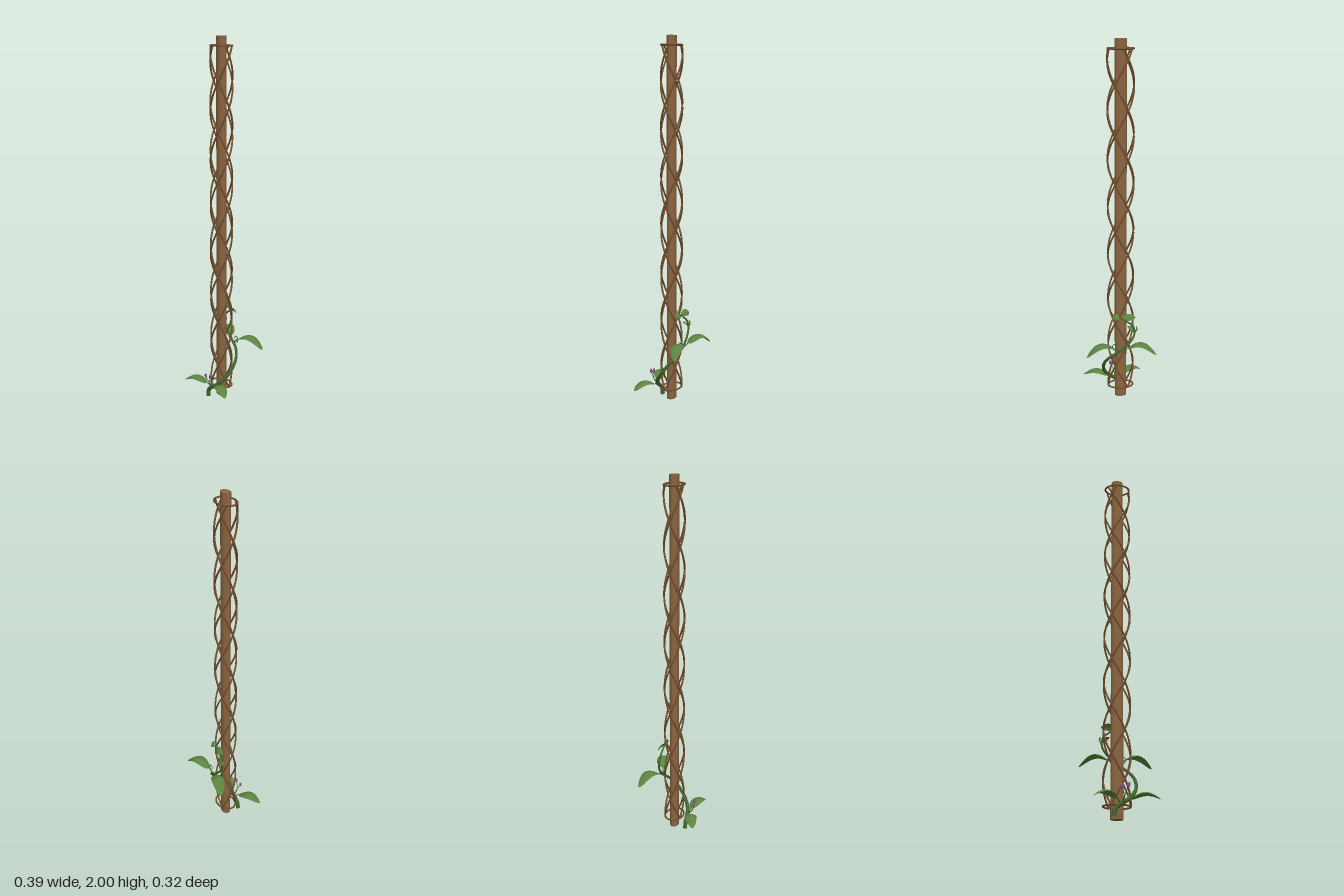
import * as THREE from 'three';

const V = (x, y, z) => new THREE.Vector3(x, y, z);
const CX = -0.012; // pole axis

// Tube along points whose radius tapers from r0 to r1
function taperedTube(points, r0, r1, segments = 80, sides = 8) {
  const curve = new THREE.CatmullRomCurve3(points);
  const geo = new THREE.TubeGeometry(curve, segments, 1, sides, false);
  const pos = geo.attributes.position;
  const p = V(0, 0, 0);
  for (let i = 0; i <= segments; i++) {
    const c = curve.getPointAt(i / segments);
    const r = r0 + (r1 - r0) * (i / segments);
    for (let j = 0; j <= sides; j++) {
      const k = i * (sides + 1) + j;
      p.fromBufferAttribute(pos, k).sub(c).multiplyScalar(r).add(c);
      pos.setXYZ(k, p.x, p.y, p.z);
    }
  }
  return geo;
}

// Arched, cupped leaf from base to tip
function leafGeometry(base, tip, halfWidth, arch, cup, up = V(0, 1, 0)) {
  const nu = 16, nv = 8;
  const geo = new THREE.PlaneGeometry(1, 1, nv, nu);
  const pos = geo.attributes.position;
  const side = V(0, 0, 0).subVectors(tip, base).cross(up).normalize();
  for (let k = 0; k < pos.count; k++) {
    const u = 0.5 - pos.getY(k), v = pos.getX(k) * 2;
    const w = halfWidth * Math.pow(Math.sin(Math.PI * Math.pow(u, 0.85)), 0.65);
    const p = base.clone().lerp(tip, u)
      .addScaledVector(side, v * w)
      .addScaledVector(up, arch * Math.sin(Math.PI * u) - cup * v * v * w / halfWidth);
    pos.setXYZ(k, p.x, p.y, p.z);
  }
  geo.computeVertexNormals();
  return geo;
}

export function createModel() {
  const group = new THREE.Group();
  const material = (name, color) => {
    const m = new THREE.MeshStandardMaterial({ color });
    m.name = name;
    return m;
  };
  const poleWood = material('pole wood', 0x8b6540);
  const latticeWood = material('lattice wood', 0x75502f);
  const stemGreen = material('stem green', 0x42682f);
  const leafGreen = material('leaf green', 0x5c8340);
  leafGreen.side = THREE.DoubleSide;
  const budPurple = material('bud purple', 0x8a5a90);

  const add = (name, geo, mat) => {
    const m = new THREE.Mesh(geo, mat);
    m.name = name;
    group.add(m);
    return m;
  };

  // Pole, slightly flattened front to back
  const pole = add('pole', new THREE.CylinderGeometry(0.033, 0.033, 2, 14), poleWood);
  pole.position.set(CX, 1, 0);
  pole.scale.z = 0.75;

  // Lattice: three strands wound each way
  const RX = 0.07, RZ = 0.0515, Y0 = 0.065, Y1 = 1.95, TURNS = 2.4, STRANDS = 3;
  const onLattice = (a, y) => V(CX + RX * Math.cos(a), y, RZ * Math.sin(a));
  for (const dir of [1, -1]) {
    for (let s = 0; s < STRANDS; s++) {
      const pts = [];
      for (let i = 0; i <= 60; i++) {
        const t = i / 60;
        const a = 2 * Math.PI * (s / STRANDS + dir * TURNS * t);
        pts.push(onLattice(a, Y0 + (Y1 - Y0) * t));
      }
      add('latticeStrand', new THREE.TubeGeometry(new THREE.CatmullRomCurve3(pts), 140, 0.005, 6), latticeWood);
    }
  }

  // Rings closing the lattice
  for (const y of [Y0, Y1]) {
    const pts = [];
    for (let i = 0; i < 24; i++) pts.push(onLattice(i / 24 * Math.PI * 2, y));
    add('latticeRing', new THREE.TubeGeometry(new THREE.CatmullRomCurve3(pts, true), 48, 0.005, 6, true), latticeWood);
  }

  // Climbing stem
  add('vineStem', taperedTube([
    V(-0.036, 0, 0.074), V(-0.028, 0.04, 0.074), V(0.03, 0.085, 0.066),
    V(0.072, 0.13, 0.037), V(0.086, 0.18, 0), V(0.073, 0.235, -0.04),
    V(0.03, 0.28, -0.068), V(-0.03, 0.325, -0.073), V(-0.08, 0.39, -0.068),
    V(-0.076, 0.44, -0.064), V(-0.035, 0.475, -0.062), V(0, 0.5, -0.06),
  ], 0.012, 0.004), stemGreen);

  // Large leaves on short stalks: stalk root, base, tip, half width, arch
  const leaves = [
    [V(0.0, 0.3, -0.073), V(-0.04, 0.325, -0.088), V(-0.195, 0.3, -0.146), 0.037, 0.05],
    [V(0.0, 0.3, -0.073), V(0.03, 0.325, -0.086), V(0.192, 0.3, -0.137), 0.036, 0.05],
    [V(0.0, 0.065, 0.072), V(-0.02, 0.085, 0.09), V(-0.149, 0.078, 0.158), 0.034, 0.036],
    [V(0.01, 0.07, 0.07), V(0.045, 0.085, 0.078), V(0.192, 0.08, 0.12), 0.033, 0.036],
  ];
  for (const [root, base, tip, w, arch] of leaves) {
    add('leafStalk', taperedTube([root, root.clone().lerp(base, 0.5), base], 0.004, 0.003, 8, 6), stemGreen);
    add('leaf', leafGeometry(base, tip, w, arch, 0.012), leafGreen);
  }

  // Young leaves near the vine tip
  const young = [
    [V(-0.015, 0.495, -0.06), V(-0.088, 0.495, -0.066), 0.02, V(0, 0.6, -0.8)],
    [V(0, 0.5, -0.06), V(0.044, 0.49, -0.058), 0.018, V(0, 0.6, -0.8)],
    [V(-0.078, 0.41, -0.066), V(-0.045, 0.44, -0.05), 0.012, V(0, 0.8, -0.6)],
    [V(-0.08, 0.4, -0.068), V(-0.092, 0.445, -0.064), 0.01, V(-0.8, 0.2, -0.5)],
  ];
  for (const [base, tip, w, up] of young) {
    add('youngLeaf', leafGeometry(base, tip, w, 0.012, 0.004, up.normalize()), leafGreen);
  }

  // Curling tendril
  const curl = [];
  for (let i = 0; i <= 12; i++) {
    const a = i / 12 * Math.PI * 1.8, r = 0.022 - 0.0012 * i;
    curl.push(V(0.025 + r * Math.sin(a), 0.33 - r * Math.cos(a), -0.074));
  }
  add('tendril', taperedTube(curl, 0.003, 0.0015, 40, 6), stemGreen);

  // Flower buds on a forked stalk
  const fork = V(0.014, 0.1, 0.102);
  add('budStalk', taperedTube([V(0.008, 0.065, 0.073), V(0.011, 0.085, 0.088), fork], 0.004, 0.003, 10, 6), stemGreen);
  for (const [x, y, z, tilt] of [[-0.003, 0.14, 0.113, 0.35], [0.033, 0.15, 0.108, -0.35]]) {
    const top = V(x, y, z);
    add('budBranch', taperedTube([fork, fork.clone().lerp(top, 0.5), top], 0.002, 0.0015, 8, 6), stemGreen);
    const bud = add('bud', new THREE.SphereGeometry(1, 12, 8), budPurple);
    bud.scale.set(0.008, 0.015, 0.006);
    bud.position.copy(top);
    bud.rotation.z = tilt;
  }
  return group;
}
